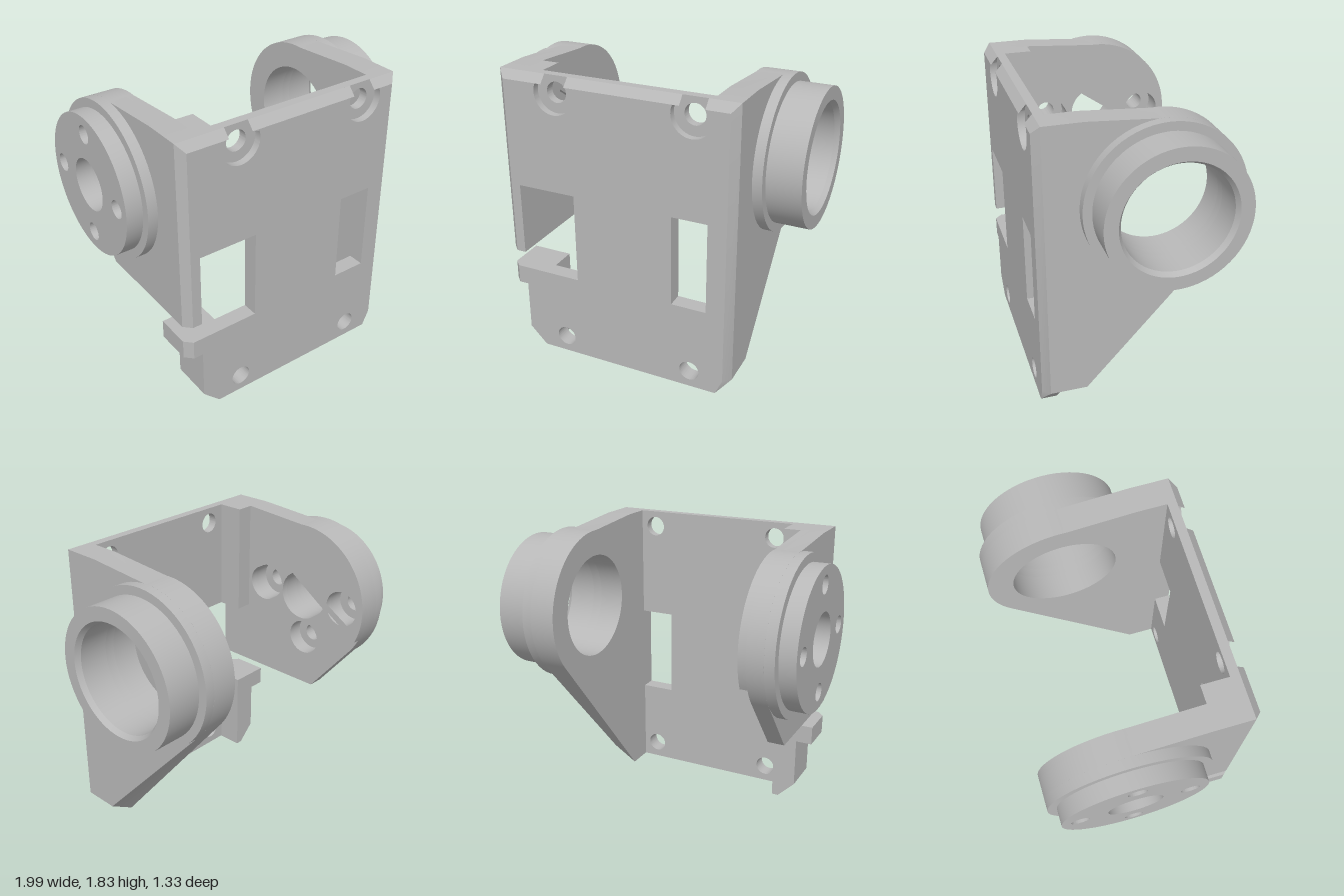
import * as THREE from 'three';
import { toCreasedNormals } from 'three/addons/utils/BufferGeometryUtils.js';

const TILT = -0.0873;          // whole bracket is turned slightly about y
const CU = 0.115, CY = 1.32;   // pivot axis (u runs backwards, u = -z)
const R_END = 0.482, R_BOSS = 0.428, R_BORE = 0.325;
const TOP = 1.83;
const SLANT = -0.684, CREST = 1.63; // tangent angles of the rounded arm end

const circle = (x, y, r) => new THREE.Path().absarc(x, y, r, 0, Math.PI * 2, false);
const polygon = pts => new THREE.Shape(pts.map(p => new THREE.Vector2(...p)));
const disc = r => new THREE.Shape().absarc(CU, CY, r, 0, Math.PI * 2, false);

export function createModel() {
  const grey = new THREE.MeshStandardMaterial({ color: 0xb8b8b8 });
  grey.name = 'warmGrey';
  const model = new THREE.Group();
  model.name = 'bracket';
  const body = new THREE.Group();
  body.name = 'turnedBody';
  body.rotation.y = TILT;
  model.add(body);

  const add = (name, geo) => {
    const mesh = new THREE.Mesh(toCreasedNormals(geo, 0.5), grey);
    mesh.name = name;
    body.add(mesh);
  };
  const extrude = (shape, holes, depth) => {
    shape.holes.push(...holes);
    return new THREE.ExtrudeGeometry(shape, { depth, bevelEnabled: false, curveSegments: 32 });
  };
  // Slab in the xy plane between two z values, with an optional vertex rule
  const reshape = (geo, rule) => {
    const p = geo.attributes.position, v = new THREE.Vector3();
    for (let i = 0; i < p.count; i++) {
      rule(v.fromBufferAttribute(p, i));
      p.setXYZ(i, v.x, v.y, v.z);
    }
    return geo;
  };
  const frontSlab = (name, shape, holes, z0, z1, rule = () => {}) =>
    add(name, reshape(extrude(shape, holes, z1 - z0).translate(0, 0, z0), rule));
  // Slab in the side plane between two x values
  const sideSlab = (name, shape, holes, x0, x1, rule = () => {}) =>
    add(name, reshape(extrude(shape, holes, x1 - x0).rotateY(Math.PI / 2).translate(x0, 0, 0), rule));

  // Front plate: back layer with screw holes, front layer with counterbores
  const screwX = [0.419, -0.438];
  const plateShape = notched => {
    const s = new THREE.Shape();
    s.moveTo(-0.6, 0);
    s.lineTo(0.59, 0);
    s.lineTo(0.68, 0.1);
    s.lineTo(0.68, TOP);
    if (notched) {
      for (const x of screwX) {
        s.lineTo(x + 0.075, TOP);
        s.absarc(x, 1.73, 0.125, 0.927, Math.PI - 0.927, true);
      }
    }
    for (const [x, y] of [[-0.814, TOP], [-0.814, 0.66], [-0.71, 0.66], [-0.71, 1.12], [-0.335, 1.12],
      [-0.335, 0.55], [-0.814, 0.55], [-0.814, 0.43], [-0.71, 0.43], [-0.71, 0.11]]) s.lineTo(x, y);
    return s;
  };
  const slot = () => polygon([[0.3, 0.55], [0.3, 1.12], [0.52, 1.12], [0.52, 0.55]]);
  const lowerHoles = () => screwX.map(x => circle(x, 0.11, 0.063));
  const upperHoles = () => screwX.map(x => circle(x, 1.73, 0.063));
  frontSlab('plateBack', plateShape(false), [slot(), ...lowerHoles(), ...upperHoles()], 0.51, 0.565);
  frontSlab('plateFront', plateShape(true), [slot(), ...lowerHoles()], 0.565, 0.61, v => {
    if (v.z < 0.6) return;
    v.x = THREE.MathUtils.clamp(v.x, -0.77, 0.635);
    v.y = Math.min(v.y, 1.78);
  });

  // Corner blocks behind the plate
  frontSlab('lowerCornerBlock', polygon([[-0.6, 0], [-0.557, 0], [-0.557, 0.55], [-0.814, 0.55],
    [-0.814, 0.43], [-0.71, 0.43], [-0.71, 0.11]]), [], 0.345, 0.51);
  frontSlab('upperCornerBlock', polygon([[-0.664, 1.12], [-0.557, 1.12], [-0.557, TOP], [-0.664, TOP]]),
    [], 0.345, 0.51);

  // Arm outlines: straight front, rounded end about the pivot
  const armShape = (start, from) => {
    const s = new THREE.Shape(start.map(p => new THREE.Vector2(...p)));
    s.absarc(CU, CY, R_END, from, CREST, false);
    s.lineTo(-0.33, TOP);
    s.lineTo(-0.51, TOP);
    return s;
  };
  const bore = () => [circle(CU, CY, R_BORE)];

  // Left-hand bearing arm with collar and tube
  sideSlab('tubeArm', armShape([[-0.51, 0], [-0.338, 0]], SLANT), bore(), 0.52, 0.68, v => {
    if (v.x > 0.67 && v.y < 0.1) v.y = 0.1;
  });
  sideSlab('tubeCollar', disc(R_END), bore(), 0.68, 0.74);
  const tube = [[R_BOSS, 0.74], [R_BOSS, 0.951], [0.345, 0.951], [R_BORE, 0.92], [R_BORE, 0.74]];
  add('tube', new THREE.LatheGeometry(tube.map(p => new THREE.Vector2(...p)), 64)
    .rotateZ(-Math.PI / 2).translate(0, CY, -CU));

  // Right-hand hub arm: thin lower layer, thicker upper layer, drilled discs
  const bolts = (r, angles = [0, 1, 2, 3]) => [circle(CU, CY, 0.16), ...angles.map(k =>
    circle(CU + 0.32 * Math.cos(k * Math.PI / 2), CY + 0.32 * Math.sin(k * Math.PI / 2), r))];
  sideSlab('hubArm', armShape([[-0.51, 0.66], [0.2, 0.66]], SLANT), bolts(0.115), -0.814, -0.71);
  sideSlab('hubArmThickening', armShape([[-0.51, 1.12]], -0.428), bolts(0.115, [0, 1, 2]), -0.71, -0.664);
  sideSlab('hubCollar', disc(R_END), bolts(0.055), -0.875, -0.814);
  sideSlab('hubDisc', disc(R_BOSS), bolts(0.055), -0.976, -0.875);

  return model;
}
